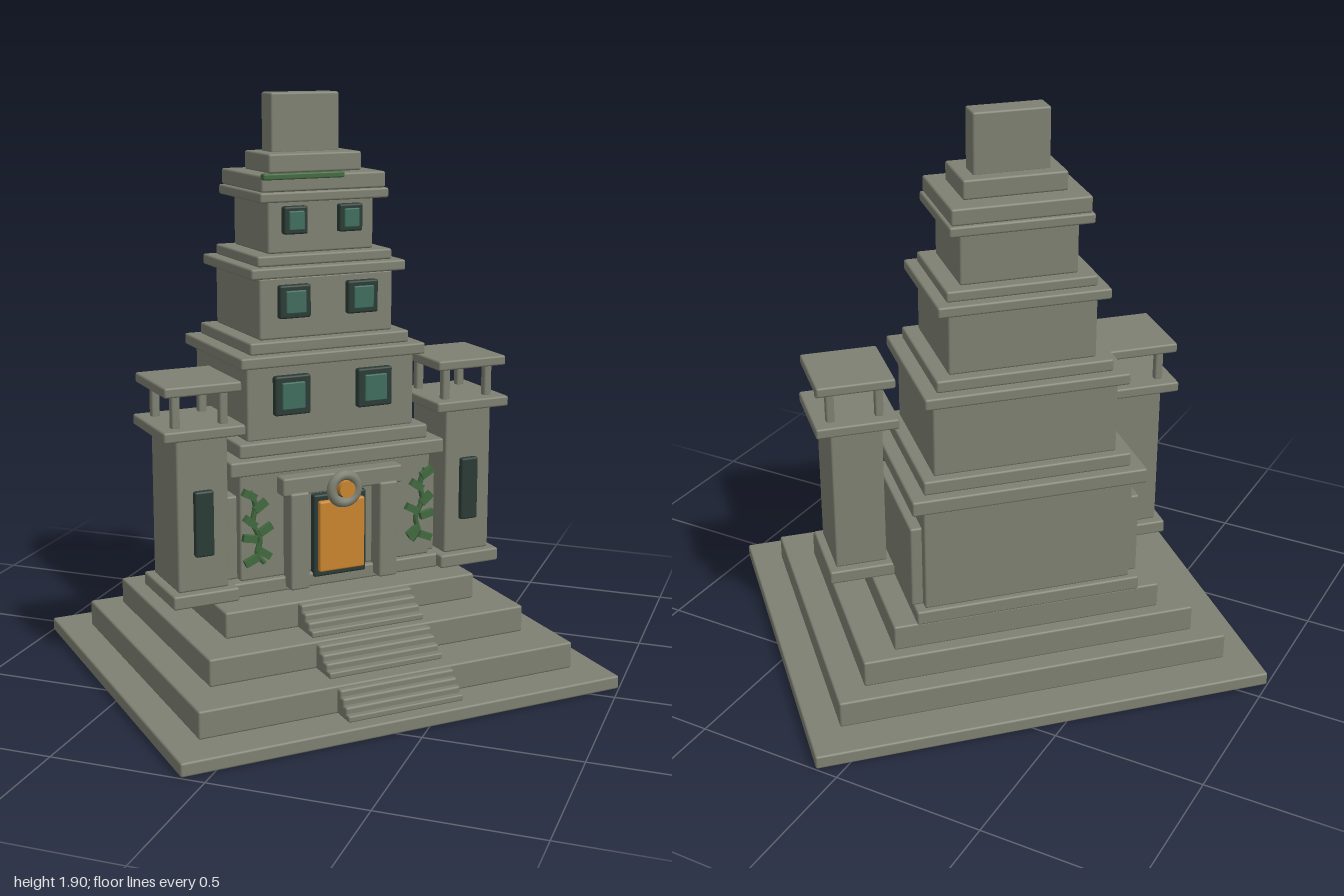
import * as THREE from 'three';
import { RoundedBoxGeometry } from 'three/addons/geometries/RoundedBoxGeometry.js';

const mat = (name, color) => Object.assign(new THREE.MeshStandardMaterial({ color }), { name });

export function createModel() {
  const stone = mat('stone', 0x7d8071);
  const dark = mat('darkFrame', 0x2a3a35);
  const glass = mat('tealGlass', 0x3f6c5d);
  const amber = mat('amber', 0xc9852f);
  const green = mat('vineGreen', 0x42693f);

  // The temple is built square to its own axes, then turned 45 degrees.
  const temple = new THREE.Group();
  temple.name = 'temple';
  temple.rotation.y = Math.PI / 4;

  const add = (name, geo, m, x, y, z, parent = temple) => {
    const mesh = new THREE.Mesh(geo, m);
    mesh.name = name;
    mesh.position.set(x, y, z);
    parent.add(mesh);
    return mesh;
  };

  // Bevelled box given by its ranges in x, y and z
  const box = (name, m, x0, x1, y0, y1, z0, z1, parent = temple) => {
    const s = [x1 - x0, y1 - y0, z1 - z0];
    const r = Math.min(0.007, Math.min(...s) * 0.25);
    return add(name, new RoundedBoxGeometry(...s, 2, r), m,
      (x0 + x1) / 2, (y0 + y1) / 2, (z0 + z1) / 2, parent);
  };

  // Stepped platform: half width, bottom, top, back, front
  [
    [0.76, 0, 0.045, -0.654, 0.654],
    [0.656, 0.045, 0.135, -0.53, 0.53],
    [0.56, 0.135, 0.225, -0.465, 0.375],
    [0.45, 0.225, 0.312, -0.425, 0.238],
  ].forEach(([a, y0, y1, z0, z1], i) => box('platform' + (i + 1), stone, -a, a, y0, y1, z0, z1));

  // Three flights of four steps
  [[0.045, 0.53, 0.02], [0.135, 0.375, 0.025], [0.225, 0.238, 0.027]].forEach(([y, z, run], f) => {
    for (let k = 0; k < 4; k++) {
      box(`flight${f + 1}Step${k + 1}`, stone, -0.2, 0.2, y, y + 0.0205 * (4 - k), z - 0.02, z + run * (k + 1));
    }
  });

  // Tower storeys and cornices: half width, half depth, bottom, top
  const zc = -0.155;
  [
    ['plinth', 0.375, 0.28, 0.312, 0.36],
    ['lowerStorey', 0.345, 0.265, 0.36, 0.715],
    ['lowerCornice', 0.385, 0.29, 0.715, 0.765],
    ['lowerCorniceStep', 0.34, 0.257, 0.765, 0.812],
    ['secondStorey', 0.30, 0.225, 0.81, 1.055],
    ['secondCornice', 0.33, 0.253, 1.052, 1.09],
    ['secondCorniceStep', 0.285, 0.22, 1.09, 1.13],
    ['thirdStorey', 0.238, 0.187, 1.13, 1.33],
    ['thirdCornice', 0.275, 0.212, 1.33, 1.365],
    ['thirdCorniceStep', 0.24, 0.18, 1.365, 1.4],
    ['fourthStorey', 0.188, 0.143, 1.4, 1.57],
    ['fourthCornice', 0.228, 0.178, 1.567, 1.6],
    ['fourthCorniceStep', 0.22, 0.17, 1.6, 1.653],
    ['crownBase', 0.165, 0.102, 1.653, 1.715],
  ].forEach(([name, a, h, y0, y1]) => box(name, stone, -a, a, y0, y1, zc - h, zc + h));
  box('crownBlock', stone, -0.122, 0.122, 1.71, 1.905, -0.215, -0.132);

  // Windows: offset, centre height, width, height, wall z
  [
    [0.148, 0.955, 0.125, 0.13, 0.07],
    [0.121, 1.252, 0.11, 0.108, 0.032],
    [0.098, 1.507, 0.084, 0.09, -0.012],
  ].forEach(([x, y, w, h, z], i) => {
    for (const s of [-1, 1]) {
      const win = new THREE.Group();
      win.name = `window${i + 2}${s < 0 ? 'Right' : 'Left'}`;
      win.position.set(s * x, y, z);
      temple.add(win);
      box('frame', dark, -w / 2, w / 2, -h / 2, h / 2, -0.01, 0.022, win);
      box('pane', glass, -w * 0.32, w * 0.32, -h * 0.34, h * 0.34, 0.015, 0.03, win);
    }
  });

  // Doorway with columns, lintel and medallion
  box('doorFrame', dark, -0.095, 0.095, 0.345, 0.625, 0.1, 0.135);
  box('door', amber, -0.082, 0.082, 0.365, 0.605, 0.125, 0.152);
  for (const s of [-1, 1]) {
    box('column', stone, s * 0.16 - 0.033, s * 0.16 + 0.033, 0.325, 0.65, 0.1, 0.172);
  }
  box('lintel', stone, -0.215, 0.215, 0.64, 0.7, 0.07, 0.16);
  add('medallionRing', new THREE.TorusGeometry(0.046, 0.017, 10, 28), stone, 0, 0.645, 0.164);
  const gem = add('medallionGem', new THREE.CylinderGeometry(0.028, 0.028, 0.035, 16), amber, 0, 0.648, 0.172);
  gem.rotation.x = Math.PI / 2;

  // Parts mirrored on both sides
  for (const s of [-1, 1]) {
    const side = s < 0 ? 'right' : 'left';
    const sx = s * 0.36;
    box(side + 'Buttress', stone, sx - 0.022, sx + 0.022, 0.36, 0.64, zc - 0.235, zc + 0.235);

    // Turret: shaft, ledge, four posts and a flat roof
    const turret = new THREE.Group();
    turret.name = side + 'Turret';
    turret.position.set(s * 0.48, 0, 0.017);
    temple.add(turret);
    const slab = (name, hx, hz, y0, y1) => box(name, stone, -hx, hx, y0, y1, -hz, hz, turret);
    slab('base', 0.112, 0.142, 0.315, 0.36);
    slab('shaft', 0.086, 0.115, 0.36, 0.862);
    slab('ledge', 0.136, 0.148, 0.86, 0.895);
    slab('roof', 0.128, 0.138, 1.0, 1.033);
    for (const px of [-0.08, 0.08]) {
      for (const pz of [-0.092, 0.092]) {
        box('post', stone, px - 0.014, px + 0.014, 0.89, 1.005, pz - 0.014, pz + 0.014, turret);
      }
    }
    box('slitWindow', dark, -0.032, 0.032, 0.475, 0.69, 0.105, 0.133, turret);

    // Hanging vine with leaves
    const vine = new THREE.Group();
    vine.name = side + 'Vine';
    vine.scale.x = s;
    vine.position.set(s * 0.292, 0, 0.128);
    temple.add(vine);
    const path = new THREE.CatmullRomCurve3([
      [0.028, 0.668], [0.008, 0.62], [0.016, 0.56], [-0.008, 0.5], [0.002, 0.455], [-0.022, 0.42],
    ].map(([x, y]) => new THREE.Vector3(x, y, 0)));
    add('stem', new THREE.TubeGeometry(path, 24, 0.009, 6), green, 0, 0, 0, vine);
    [[0.03, 0.655, 0.5], [-0.008, 0.615, -0.6], [0.028, 0.565, 0.7], [-0.025, 0.535, -0.5],
      [0.03, 0.51, 0.2], [-0.02, 0.455, 0.6], [0.025, 0.435, -0.4]].forEach(([x, y, a]) => {
      const leaf = add('leaf', new THREE.BoxGeometry(0.048, 0.024, 0.018), green, x, y, 0.006, vine);
      leaf.rotation.z = a;
    });
  }

  // Moss along the top cornice
  box('mossStrip', green, -0.22, 0.064, 1.64, 1.66, 0.004, 0.032);

  const model = new THREE.Group();
  model.name = 'steppedTemple';
  model.add(temple);
  return model;
}
